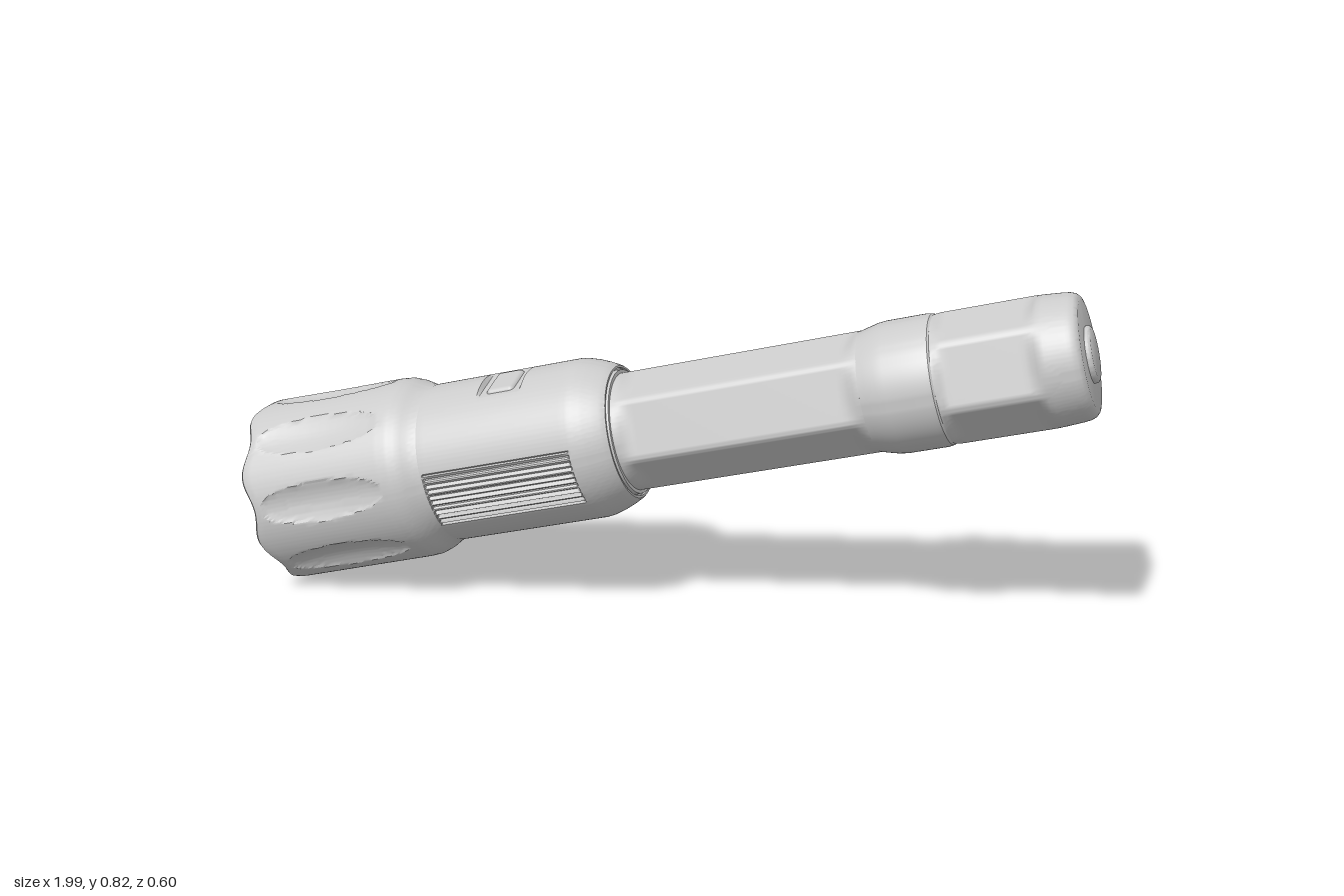
import * as THREE from 'three';
import { toCreasedNormals } from 'three/addons/utils/BufferGeometryUtils.js';
import { RoundedBoxGeometry } from 'three/addons/geometries/RoundedBoxGeometry.js';

const material = new THREE.MeshStandardMaterial({ color: 0xcccccc });
const rad = THREE.MathUtils.degToRad;
const smooth = THREE.MathUtils.smoothstep;

// Signed angle from a to the nearest of n equally spaced directions.
function nearest(a, n, phase) {
  const step = (2 * Math.PI) / n;
  const d = a - phase;
  return d - step * Math.round(d / step);
}

// Turned shell along +Y from [radius, s] points. warp(r, s, a) returns the
// new [r, s]; angle a is 0 at the front and 90 degrees at the top.
function shell(name, profile, segments, step, warp) {
  const pts = [];
  profile.forEach(([r, s], i) => {
    if (i > 0) {
      const [r0, s0] = profile[i - 1];
      const n = Math.max(1, Math.ceil(Math.abs(s - s0) / step));
      for (let k = 1; k < n; k++) {
        pts.push(new THREE.Vector2(r0 + ((r - r0) * k) / n, s0 + ((s - s0) * k) / n));
      }
    }
    pts.push(new THREE.Vector2(r, s));
  });
  const geo = new THREE.LatheGeometry(pts, segments);
  const pos = geo.attributes.position;
  if (warp) {
    for (let i = 0; i < pos.count; i++) {
      const x = pos.getX(i), s = pos.getY(i), z = pos.getZ(i);
      const r = Math.hypot(x, z);
      if (r < 1e-5) continue;
      const [nr, ns] = warp(r, s, Math.atan2(-x, z));
      pos.setXYZ(i, (x * nr) / r, ns, (z * nr) / r);
    }
  }
  const mesh = new THREE.Mesh(toCreasedNormals(geo, 0.6), material);
  mesh.name = name;
  return mesh;
}

// Six long flats cut into a round shell, fading out at both ends.
function flats(apothem, from, to, fade) {
  return (r, s, a) => {
    const d = nearest(a, 6, rad(17));
    const cut = Math.max(0, r - apothem / Math.cos(d));
    const mask = smooth(s, from, from + fade) * (1 - smooth(s, to - fade, to));
    return [r - cut * mask, s];
  };
}

export function createModel() {
  const torch = new THREE.Group();
  torch.name = 'flashlight';

  // Head: recessed lens, scalloped rim, eight oval scoops
  torch.add(shell('head', [
    [0, 0.03], [0.192, 0.03], [0.2, 0.004], [0.208, 0], [0.215, 0.006],
    [0.217, 0.02], [0.215, 0.36], [0.213, 0.385], [0.206, 0.405],
    [0.195, 0.425], [0.188, 0.44], [0.185, 0.455],
  ], 256, 0.01, (r, s, a) => {
    const d = nearest(a, 8, rad(5));
    const q = ((s - 0.195) / 0.165) ** 2 + (d / 0.215) ** 2;
    const scoop = q < 1 && r > 0.2 ? 0.003 + 0.014 * (1 - q) : 0;
    const wave = r > 0.196 ? 0.009 * (1 + Math.cos(8 * d)) * (1 - smooth(s, 0, 0.08)) : 0;
    return [r - scoop, s + wave];
  }));

  // Switch housing: ribbed grip on both sides, flat seat for the switch
  const switchAngle = rad(82);
  torch.add(shell('switchHousing', [
    [0.18, 0.44], [0.186, 0.445], [0.187, 0.452], [0.187, 0.456], [0.187, 0.595], [0.187, 0.6],
    [0.187, 0.7], [0.187, 0.705], [0.187, 0.815], [0.187, 0.82], [0.185, 0.835],
    [0.178, 0.86], [0.168, 0.885], [0.159, 0.903], [0.155, 0.908], [0.15, 0.908],
    [0.15, 0.902], [0.146, 0.902], [0.145, 0.912], [0.134, 0.912],
  ], 360, 0.012, (r, s, a) => {
    const grip = nearest(a, 2, rad(-12));
    if (Math.abs(grip) < 0.38 && s > 0.453 && s < 0.818) {
      return [r - 0.005 - 0.004 * Math.cos(grip * 82), s];
    }
    const d = nearest(a, 1, switchAngle);
    if (Math.abs(d) < 0.6 && s > 0.597 && s < 0.703) {
      return [Math.min(r, 0.175 / Math.cos(d)), s];
    }
    return [r, s];
  }));

  // Push switch
  const pushSwitch = new THREE.Mesh(new RoundedBoxGeometry(0.105, 0.07, 0.03, 4, 0.012), material);
  pushSwitch.name = 'pushSwitch';
  pushSwitch.rotation.y = -switchAngle;
  pushSwitch.position.set(-Math.sin(switchAngle) * 0.168, 0.65, Math.cos(switchAngle) * 0.168);
  torch.add(pushSwitch);

  // Battery tube
  torch.add(shell('batteryTube', [[0.137, 0.895], [0.137, 1.5]],
    180, 0.012, flats(0.121, 0.91, 1.495, 0.045)));

  // Collar between the tube and the tail cap
  torch.add(shell('collar', [
    [0.13, 1.488], [0.137, 1.49], [0.141, 1.505], [0.147, 1.53], [0.149, 1.55],
    [0.149, 1.64], [0.147, 1.652], [0.143, 1.656], [0.13, 1.656],
  ], 96, 0.05));

  // Tail cap with flats and a rounded end
  torch.add(shell('tailCap', [
    [0.13, 1.65], [0.144, 1.656], [0.146, 1.67], [0.146, 1.88], [0.145, 1.9],
    [0.142, 1.94], [0.14, 1.955], [0.136, 1.966], [0.129, 1.973], [0.122, 1.975], [0, 1.975],
  ], 180, 0.012, flats(0.13, 1.65, 1.895, 0.035)));

  // Tail button
  torch.add(shell('tailButton', [
    [0.063, 1.97], [0.063, 1.982], [0.061, 1.985], [0.057, 1.987], [0, 1.988],
  ], 64, 0.05));

  // Tilt the whole light: head low at the right, tail raised at the left
  const axis = new THREE.Vector3(1.9, 0.49, 0.25).normalize();
  const up = new THREE.Vector3(-axis.y, axis.x, 0).normalize();
  const front = new THREE.Vector3().crossVectors(axis, up);
  torch.quaternion.setFromRotationMatrix(
    new THREE.Matrix4().makeBasis(up.clone().negate(), axis, front));
  torch.position.set(-0.94, 0.21, -0.09);

  const model = new THREE.Group();
  model.name = 'model';
  model.add(torch);
  return model;
}
